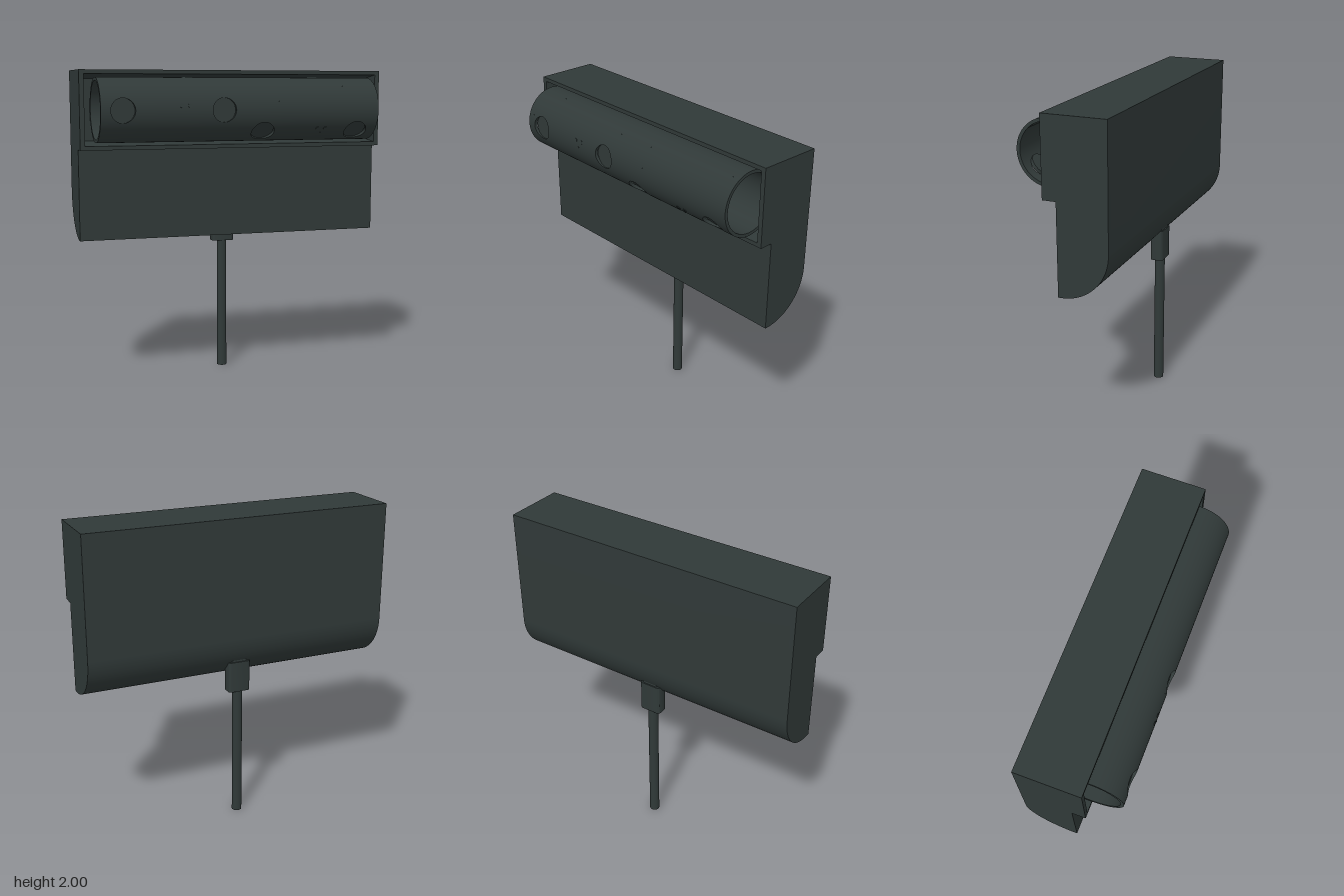
import * as THREE from 'three';
import { toCreasedNormals } from 'three/addons/utils/BufferGeometryUtils.js';
import { ParametricGeometry } from 'three/addons/geometries/ParametricGeometry.js';

const HALF = 0.995, INNER = 0.965;           // housing half width, recess half width
const TUBE_Y = 1.755, TUBE_Z = 0.1, TUBE_HALF = 0.9;
const R_OUT = 0.2, R_IN = 0.18, HOLE = 0.075, PATCH = 0.09;

export function createModel() {
  const model = new THREE.Group();
  const plastic = new THREE.MeshStandardMaterial({ color: 0x303938, side: THREE.DoubleSide });
  plastic.name = 'charcoal plastic';

  const add = (parent, name, geometry, x = 0, y = 0, z = 0) => {
    const mesh = new THREE.Mesh(geometry, plastic);
    mesh.name = name;
    mesh.position.set(x, y, z);
    parent.add(mesh);
    return mesh;
  };

  // Housing: side profile (z, y) swept along x, with the recess cut from the middle span
  const profile = (recessed) => {
    const s = new THREE.Shape();
    s.moveTo(0.1, 2);
    s.lineTo(-0.3, 2);
    s.lineTo(-0.3, 1.24);
    s.absarc(0, 1.24, 0.3, Math.PI, Math.PI * 1.5, false);
    s.lineTo(0.015, 0.94);
    s.lineTo(0.015, 1.51);
    s.lineTo(0.1, 1.51);
    if (recessed) {
      s.lineTo(0.1, 1.535);
      s.lineTo(-0.11, 1.558);
      s.lineTo(-0.11, 1.947);
      s.lineTo(0.1, 1.975);
    }
    s.closePath();
    return s;
  };
  const sweep = (shape, width) => {
    const g = new THREE.ExtrudeGeometry(shape, { depth: width, bevelEnabled: false, curveSegments: 32 });
    g.rotateY(-Math.PI / 2).translate(width / 2, 0, 0);
    return toCreasedNormals(g, 0.5);
  };
  add(model, 'housing', sweep(profile(true), INNER * 2));
  for (const side of [-1, 1]) {
    add(model, 'housingEnd', sweep(profile(false), HALF - INNER), side * (HALF + INNER) / 2);
  }

  // Hollow sensor tube
  const tube = new THREE.Group();
  tube.name = 'sensorTube';
  tube.position.set(0, TUBE_Y, TUBE_Z);
  model.add(tube);

  // Cylinder wall along x, optionally leaving out an angle window facing +z
  const wall = (r, length, gap = 0) =>
    new THREE.CylinderGeometry(r, r, length, 96, 1, true, gap, Math.PI * 2 - gap * 2).rotateZ(Math.PI / 2);

  // Curved square of tube wall with a round hole in its centre
  const holedPatch = (r) => new ParametricGeometry((u, v, out) => {
    const c = Math.cos(u * Math.PI * 2), s = Math.sin(u * Math.PI * 2);
    const square = PATCH / Math.max(Math.abs(c), Math.abs(s));
    const d = THREE.MathUtils.lerp(square, HOLE, v);
    out.set(c * d, s * d, Math.sqrt(r * r - s * s * d * d));
  }, 64, 6);

  // Edge of the hole, joining the outer and inner walls
  const holeRim = new ParametricGeometry((u, v, out) => {
    const c = Math.cos(u * Math.PI * 2) * HOLE, s = Math.sin(u * Math.PI * 2) * HOLE;
    const r = THREE.MathUtils.lerp(R_OUT, R_IN, v);
    out.set(c, s, Math.sqrt(r * r - s * s));
  }, 64, 1);

  // Lens bands: two facing forward, two tilted down
  const lenses = [[-0.765, 0], [-0.135, 0], [0.13, Math.PI / 4], [0.76, Math.PI / 4]];
  let edge = -TUBE_HALF;
  const plainSpan = (to) => {
    for (const r of [R_OUT, R_IN]) add(tube, 'tubeWall', wall(r, to - edge), (to + edge) / 2);
  };
  for (const [x, tilt] of lenses) {
    plainSpan(x - PATCH);
    edge = x + PATCH;
    const band = new THREE.Group();
    band.name = 'lensBand';
    band.position.x = x;
    band.rotation.x = tilt;
    tube.add(band);
    for (const r of [R_OUT, R_IN]) {
      add(band, 'tubeWall', wall(r, PATCH * 2, Math.asin(PATCH / r)));
      add(band, 'lensSurround', holedPatch(r));
    }
    add(band, 'lensRim', holeRim);
    add(band, 'lens', new THREE.CylinderGeometry(HOLE, HOLE, 0.02, 48).rotateX(Math.PI / 2), 0, 0, 0.167);
  }
  plainSpan(TUBE_HALF);
  for (const side of [-1, 1]) {
    add(tube, 'tubeEndRing', new THREE.RingGeometry(R_IN, R_OUT, 96).rotateY(side * Math.PI / 2), side * TUBE_HALF);
  }

  // Indicator dots: a forward trio and a downward trio
  for (const [x, tilt] of [[-0.38, 0], [0.52, Math.PI / 4]]) {
    const dots = new THREE.Group();
    dots.name = 'indicatorDots';
    dots.position.x = x;
    dots.rotation.x = tilt;
    tube.add(dots);
    for (const [dx, dy, r] of [[-0.026, 0.028, 0.013], [0.026, 0.028, 0.013], [0, -0.012, 0.006]]) {
      const dot = add(dots, 'indicatorDot', new THREE.CylinderGeometry(r, r, 0.004, 20).rotateX(Math.PI / 2),
        dx, dy, Math.sqrt(R_OUT * R_OUT - dy * dy));
      dot.rotation.x = -Math.asin(dy / R_OUT);
    }
  }

  // Plug and cable below the curved back
  const plug = (w, d, h) => {
    const s = new THREE.Shape(), r = 0.02, x = w / 2 - r, y = d / 2 - r;
    s.absarc(x, y, r, 0, Math.PI / 2);
    s.absarc(-x, y, r, Math.PI / 2, Math.PI);
    s.absarc(-x, -y, r, Math.PI, Math.PI * 1.5);
    s.absarc(x, -y, r, Math.PI * 1.5, Math.PI * 2);
    const g = new THREE.ExtrudeGeometry(s, { depth: h, bevelEnabled: false, curveSegments: 8 });
    return toCreasedNormals(g.rotateX(-Math.PI / 2), 0.6);
  };
  add(model, 'plug', plug(0.146, 0.082, 0.2), 0, 0.87, -0.222);
  add(model, 'plugSocket', plug(0.12, 0.06, 0.06), 0, 1.05, -0.225);
  add(model, 'cable', new THREE.CylinderGeometry(0.032, 0.032, 0.9, 32), 0, 0.45, -0.222);

  return model;
}
